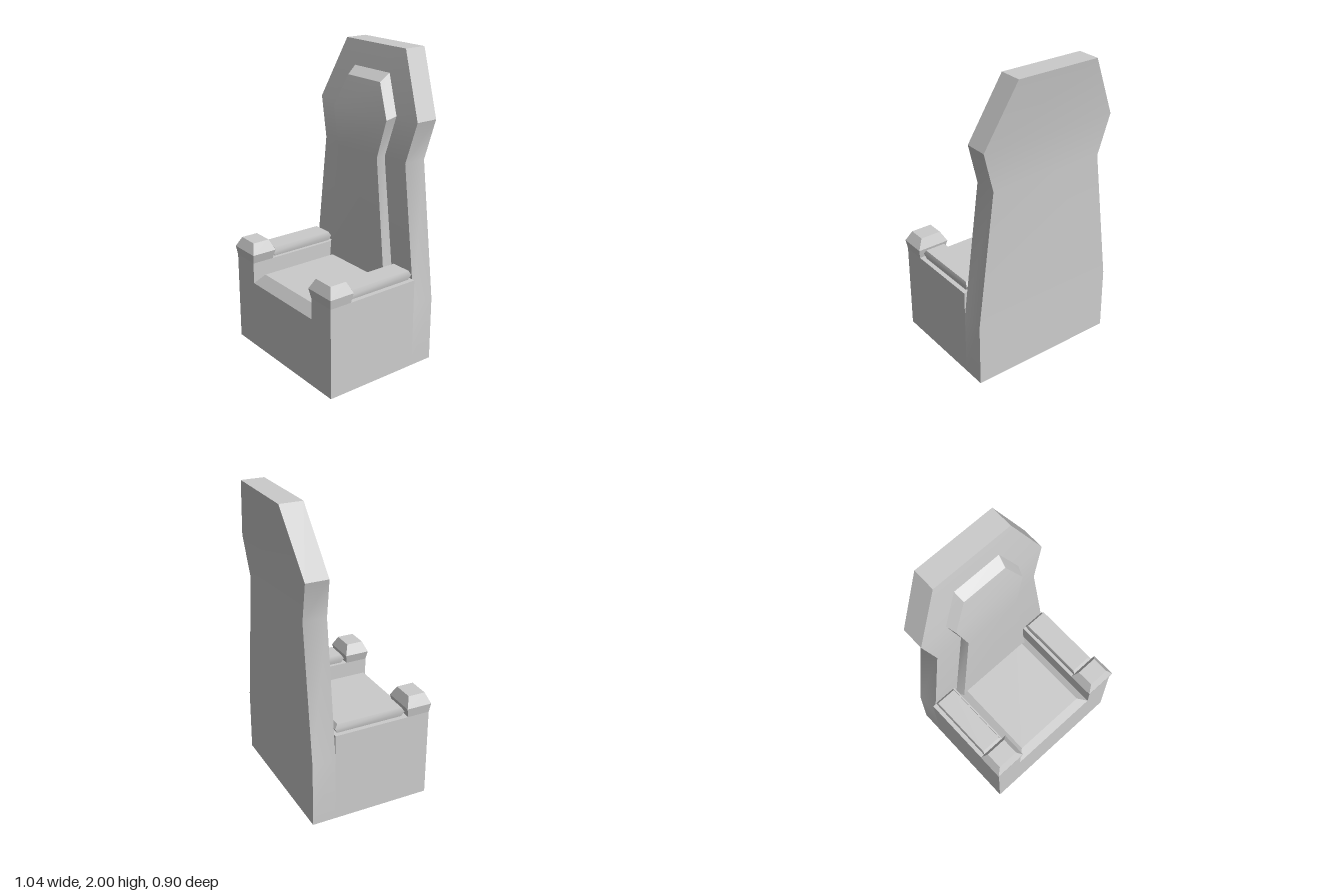
import * as THREE from 'three';
import { toCreasedNormals } from 'three/addons/utils/BufferGeometryUtils.js';

const grey = new THREE.MeshStandardMaterial({ color: 0xcccccc });
const sheetGrey = new THREE.MeshStandardMaterial({ color: 0xcccccc, side: THREE.DoubleSide });

function meshFrom(name, positions, material, crease = 0.5) {
  let geo = new THREE.BufferGeometry();
  geo.setAttribute('position', new THREE.Float32BufferAttribute(positions, 3));
  geo = toCreasedNormals(geo, crease);
  const mesh = new THREE.Mesh(geo, material);
  mesh.name = name;
  return mesh;
}

// Four-cornered ring, counter-clockwise seen from above
const rect = (x0, x1, z0, z1, y) => [[x0, y, z1], [x1, y, z1], [x1, y, z0], [x0, y, z0]];

// Closed solid through four-cornered rings, listed from bottom to top
function loft(name, rings) {
  const p = [];
  const quad = (a, b, c, d) => p.push(...a, ...b, ...c, ...a, ...c, ...d);
  for (let r = 0; r < rings.length - 1; r++) {
    const lo = rings[r], hi = rings[r + 1];
    for (let i = 0; i < 4; i++) {
      const j = (i + 1) % 4;
      quad(lo[i], lo[j], hi[j], hi[i]);
    }
  }
  const top = rings[rings.length - 1];
  quad(...top);
  quad(...[...rings[0]].reverse());
  return meshFrom(name, p, grey);
}

// Thin panels made of quads
function sheet(name, quads) {
  const p = [];
  for (const [a, b, c, d] of quads) p.push(...a, ...b, ...c, ...a, ...c, ...d);
  return meshFrom(name, p, sheetGrey);
}

export function createModel() {
  const group = new THREE.Group();
  const W = 0.51, IN = 0.32;       // outer and inner x of the arms
  const F = 0.44, B = -0.215;      // front and rear z of the seat box
  const ARM = 0.6, LIP = 0.46;     // arm top and lower edge of the seat bevel

  // Backrest: slab with waisted outline, leaning back at the top
  group.add(loft('backrest', [
    [W, 0, B, -0.37], [W, 0.43, B, -0.37], [0.395, 1.33, B, -0.37],
    [0.47, 1.595, -0.236, -0.386], [0.28, 2, -0.3, -0.45],
  ].map(([x, y, zf, zb]) => rect(-x, x, zb, zf, y))));

  // Raised back panel with bevelled edges: front x, y, z then rim x, y, z
  group.add(loft('backPanel', [
    [0.29, 0.46, -0.16, 0.315, 0.46, -0.22],
    [0.195, 1.33, -0.16, 0.207, 1.335, -0.22],
    [0.26, 1.575, -0.176, 0.283, 1.6, -0.24],
    [0.155, 1.79, -0.21, 0.168, 1.845, -0.28],
  ].map(([xi, yi, zi, xo, yo, zo]) => [[-xi, yi, zi], [xi, yi, zi], [xo, yo, zo], [-xo, yo, zo]])));

  // Front wall under the seat
  group.add(sheet('frontWall', [[[-IN, 0, F], [IN, 0, F], [IN, LIP, F], [-IN, LIP, F]]]));

  // Seat: flat top with bevelled front and sides
  const sx = 0.257, sy = 0.53, sz = 0.39;
  group.add(sheet('seat', [
    [[-sx, sy, sz], [sx, sy, sz], [sx, sy, B], [-sx, sy, B]],
    [[-IN, LIP, F], [IN, LIP, F], [sx, sy, sz], [-sx, sy, sz]],
    [[IN, LIP, F], [IN, LIP, B], [sx, sy, B], [sx, sy, sz]],
    [[-IN, LIP, B], [-IN, LIP, F], [-sx, sy, sz], [-sx, sy, B]],
  ]));

  for (const [side, s] of [['left', 1], ['right', -1]]) {
    // Arm: hollow shell, open to the space below the seat
    const quads = [
      [[IN, 0, F], [W, 0, F], [W, ARM, F], [IN, ARM, F]],
      [[W, 0, F], [W, 0, B], [W, ARM, B], [W, ARM, F]],
      [[IN, ARM, F], [W, ARM, F], [W, ARM, B], [IN, ARM, B]],
      [[IN, LIP, B], [IN, LIP, F], [IN, ARM, F], [IN, ARM, B]],
      [[W, 0.42, B], [IN, 0.42, B], [IN, ARM, B], [W, ARM, B]],
      [[IN, 0, B], [W, 0, B], [W, 0, F], [IN, 0, F]],
    ].map((q) => {
      const m = q.map(([x, y, z]) => [s * x, y, z]);
      return s > 0 ? m : m.reverse();
    });
    group.add(sheet(side + 'Arm', quads));

    const ring = (x0, x1, z0, z1, y) =>
      s > 0 ? rect(x0, x1, z0, z1, y) : rect(-x1, -x0, z0, z1, y);

    // Armrest pad with pointed ends
    group.add(loft(side + 'ArmPad', [
      ring(0.342, 0.48, -0.19, 0.257, 0.601),
      ring(0.335, 0.487, -0.208, 0.276, 0.632),
      ring(0.342, 0.48, -0.19, 0.257, 0.662),
    ]));

    // Post cap at the front of the arm
    group.add(loft(side + 'PostCap', [
      ring(IN, W, 0.29, F, 0.6),
      ring(0.303, 0.52, 0.277, 0.449, 0.662),
      ring(0.34, 0.482, 0.305, 0.42, 0.73),
    ]));
  }
  return group;
}
